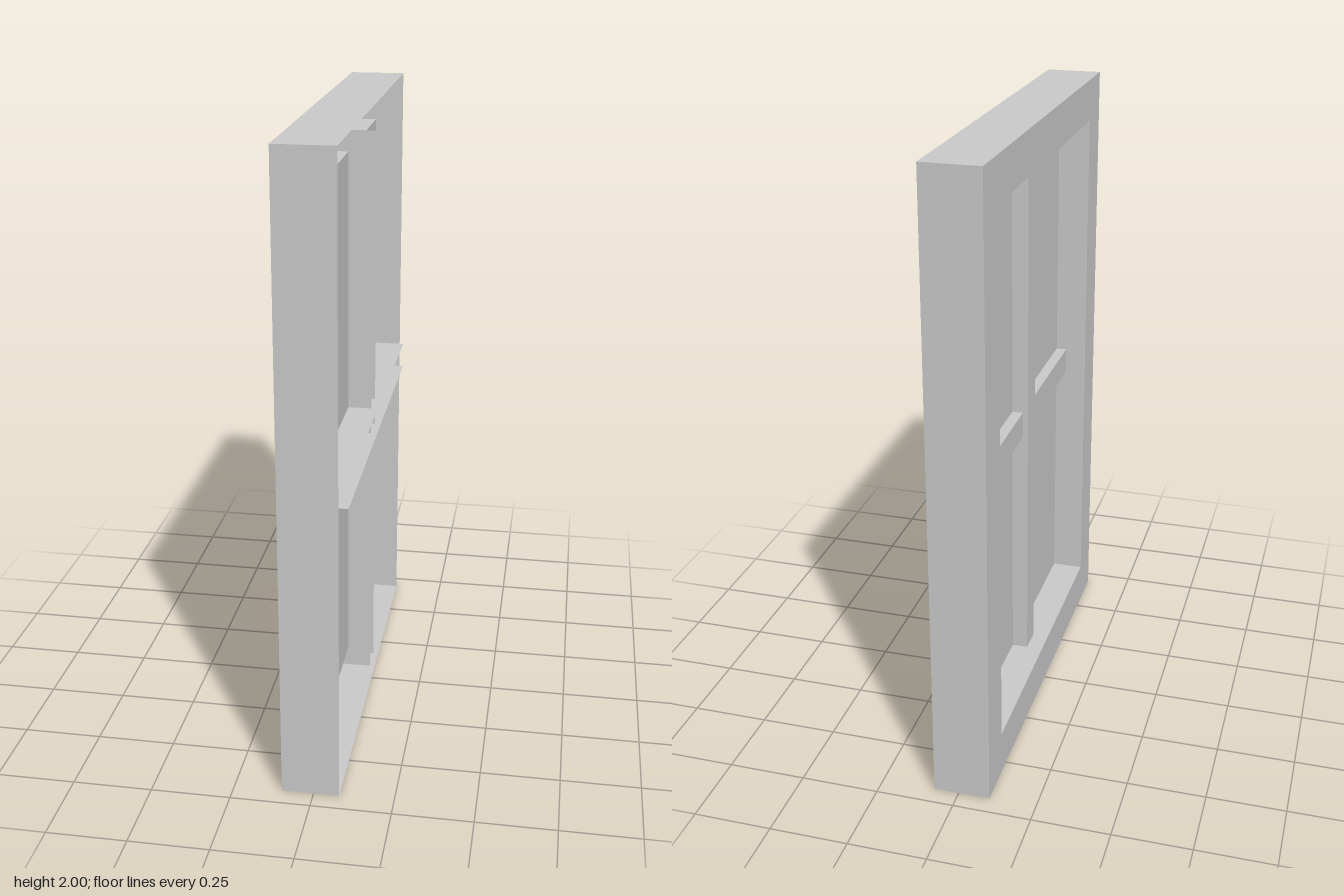
import * as THREE from 'three';

const material = new THREE.MeshStandardMaterial({ color: 0xcccccc, flatShading: true, side: THREE.DoubleSide });

// Joins successive cross-sections with flat quads; closed rings wrap round.
function loft(name, sections, closed) {
  const pos = [];
  for (let i = 0; i < sections.length - 1; i++) {
    const s = sections[i], t = sections[i + 1], n = s.length;
    for (let j = 0; j < (closed ? n : n - 1); j++) {
      const k = (j + 1) % n;
      pos.push(...s[j], ...s[k], ...t[k], ...s[j], ...t[k], ...t[j]);
    }
  }
  const geometry = new THREE.BufferGeometry();
  geometry.setAttribute('position', new THREE.Float32BufferAttribute(pos, 3));
  geometry.computeVertexNormals();
  const mesh = new THREE.Mesh(geometry, material);
  mesh.name = name;
  return mesh;
}

// Rectangular ring at depth x
const ring = (x, z, y0, y1) => [[x, y0, -z], [x, y0, z], [x, y1, z], [x, y1, -z]];

// Open three-sided section of a glazing bar: two cheeks and a face
const channel = (front, back, h) => [[front, h], [back, h], [back, -h], [front, -h]];

export function createModel() {
  const group = new THREE.Group();
  group.name = 'window';
  const paneX = 0.005, openZ = 0.548, openY0 = 0.143, openY1 = 1.863;

  // Frame shell, open on +x: outer walls, face border, reveal back to the glass
  group.add(loft('frame', [
    ring(0.08, 0.688, 0, 2),
    ring(-0.1, 0.688, 0, 2),
    ring(-0.1, openZ, openY0, openY1),
    ring(paneX, openZ, openY0, openY1),
  ], true));

  // Single-sheet glass
  const pane = new THREE.Mesh(new THREE.PlaneGeometry(2 * openZ, openY1 - openY0), material);
  pane.name = 'pane';
  pane.rotation.y = -Math.PI / 2;
  pane.position.set(paneX, (openY0 + openY1) / 2, 0);
  group.add(pane);

  // Glazing bars, passing through the glass, with open ends
  const upright = channel(0.08, -0.047, 0.043);
  group.add(loft('verticalBar', [1.913, 0.074].map(y => upright.map(([x, z]) => [x, y, z])), false));
  const cross = channel(0.1, -0.03, 0.043);
  group.add(loft('horizontalBar', [-0.63, 0.63].map(z => cross.map(([x, h]) => [x, 0.99 + h, z])), false));

  return group;
}
